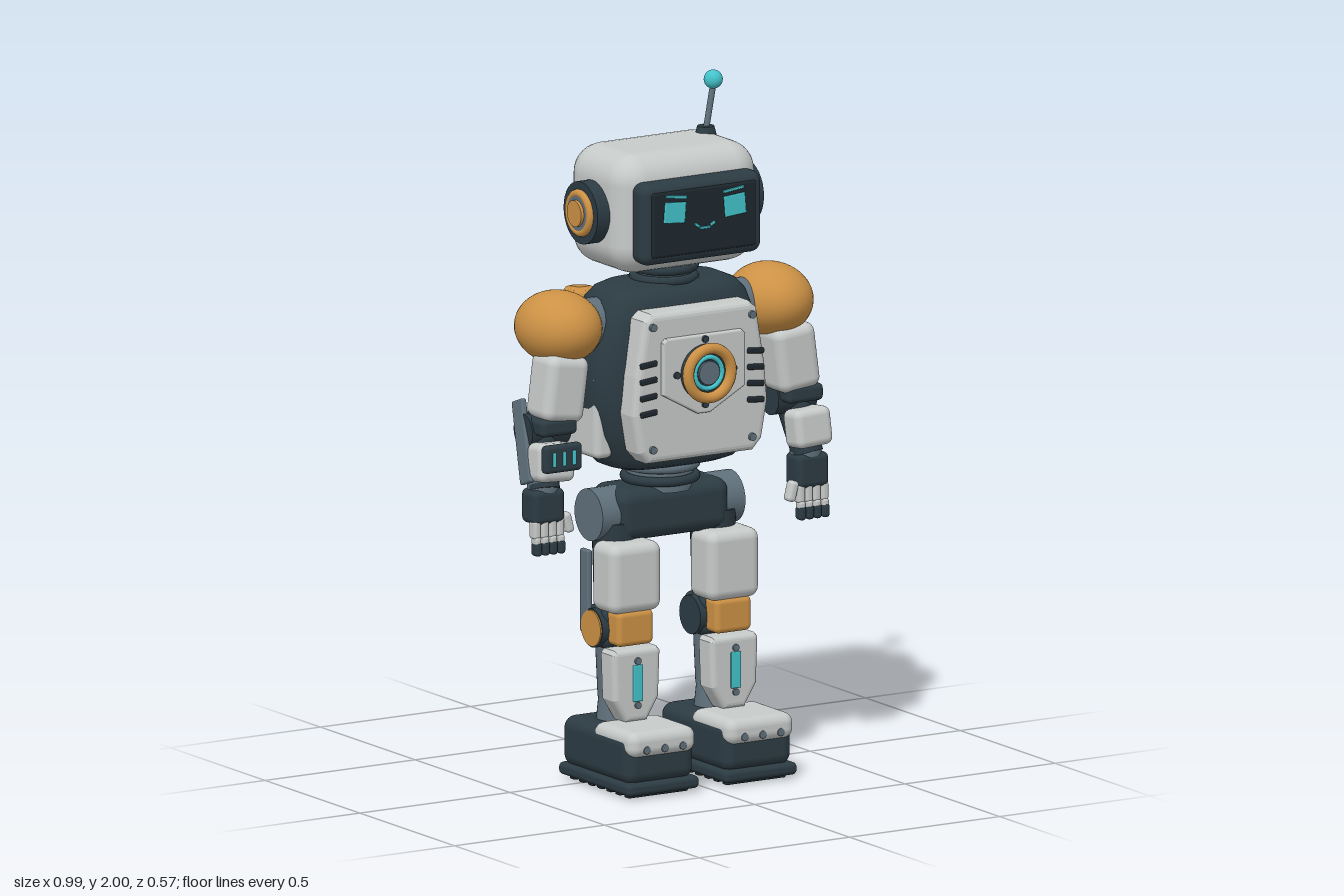
import * as THREE from 'three';
import { RoundedBoxGeometry } from 'three/addons/geometries/RoundedBoxGeometry.js';

const mat = (name, color) => Object.assign(new THREE.MeshStandardMaterial({ color }), { name });
const light = mat('light shell', 0xc6cac8), dark = mat('dark shell', 0x2c3b43), black = mat('near black', 0x1d272d);
const slate = mat('slate metal', 0x5f707b), orange = mat('orange', 0xcc9145), teal = mat('teal glow', 0x43c3cb);

function add(parent, name, geo, material, pos = [0, 0, 0], rot = [0, 0, 0]) {
  const m = new THREE.Mesh(geo, material);
  m.name = name;
  m.position.set(...pos);
  m.rotation.set(...rot);
  parent.add(m);
  return m;
}
const group = (parent, name) => {
  const g = new THREE.Group();
  g.name = name;
  parent.add(g);
  return g;
};
const box = (p, n, m, size, pos, r = 0.015, rot) => add(p, n, new RoundedBoxGeometry(...size, 4, r), m, pos, rot);
const cyl = (p, n, m, r, h, pos, axis = 'y', r2 = r) =>
  add(p, n, new THREE.CylinderGeometry(r, r2, h, 32), m, pos, axis === 'x' ? [0, 0, Math.PI / 2] : axis === 'z' ? [Math.PI / 2, 0, 0] : [0, 0, 0]);
const ring = (p, n, m, r, t, pos, rot) => add(p, n, new THREE.TorusGeometry(r, t, 12, 40), m, pos, rot);

// Symmetric bevelled plate from a right-hand outline listed top to bottom, spanning z0 to z1
function plate(p, n, m, half, z0, z1, bevel, x = 0) {
  const pts = [...half, ...half.map(([a, b]) => [-a, b]).reverse()].map(([a, b]) => new THREE.Vector2(a, b));
  const geo = new THREE.ExtrudeGeometry(new THREE.Shape(pts), {
    depth: z1 - z0 - 2 * bevel, bevelSize: bevel, bevelThickness: bevel, bevelOffset: -bevel, bevelSegments: 4,
  });
  return add(p, n, geo, m, [x, 0, z0 + bevel]);
}

// Closed body lofted through superellipse sections [y, halfWidth, halfDepth]
function loft(rows, power, seg = 64) {
  const pos = [], idx = [];
  const e = (v) => Math.sign(v) * Math.abs(v) ** (2 / power);
  for (const [y, a, b] of rows)
    for (let i = 0; i < seg; i++) {
      const t = (i / seg) * Math.PI * 2;
      pos.push(a * e(Math.sin(t)), y, b * e(Math.cos(t)));
    }
  for (let j = 0; j < rows.length - 1; j++)
    for (let i = 0; i < seg; i++) {
      const a = j * seg + i, b = j * seg + ((i + 1) % seg);
      idx.push(a, b, b + seg, a, b + seg, a + seg);
    }
  const geo = new THREE.BufferGeometry();
  geo.setAttribute('position', new THREE.Float32BufferAttribute(pos, 3));
  geo.setIndex(idx);
  geo.computeVertexNormals();
  return geo;
}

function buildHead(root) {
  const head = group(root, 'head');
  box(head, 'skull', light, [0.475, 0.345, 0.32], [0, 1.652, 0.02], 0.085);
  box(head, 'faceFrame', dark, [0.4, 0.235, 0.08], [0, 1.638, 0.192], 0.03);
  box(head, 'screen', black, [0.35, 0.19, 0.02], [0, 1.638, 0.226], 0.009);
  for (const s of [-1, 1]) {
    box(head, 'eye', teal, [0.07, 0.06, 0.008], [s * 0.1, 1.67, 0.237], 0.003, [0, 0, s * 0.08]);
    box(head, 'brow', teal, [0.07, 0.008, 0.006], [s * 0.095, 1.715, 0.237], 0.002, [0, 0, s * 0.12]);
    box(head, 'mouthCorner', teal, [0.018, 0.008, 0.006], [s * 0.026, 1.625, 0.237], 0.002, [0, 0, s * 0.6]);
    // Layered ear discs
    cyl(head, 'earDisc', dark, 0.09, 0.06, [s * 0.247, 1.65, 0.02], 'x');
    ring(head, 'earRing', orange, 0.056, 0.012, [s * 0.28, 1.65, 0.02], [0, Math.PI / 2, 0]);
    cyl(head, 'earInset', slate, 0.05, 0.02, [s * 0.28, 1.65, 0.02], 'x');
    cyl(head, 'earCap', orange, 0.038, 0.026, [s * 0.286, 1.65, 0.02], 'x');
  }
  box(head, 'mouth', teal, [0.034, 0.007, 0.006], [0, 1.616, 0.237], 0.002);
  // Antenna
  cyl(head, 'antennaBase', dark, 0.024, 0.03, [0.165, 1.827, -0.02], 'y', 0.032);
  const tilt = -Math.atan2(0.028, 0.15);
  add(head, 'antennaRod', new THREE.CylinderGeometry(0.009, 0.009, 0.16, 16), slate, [0.177, 1.89, -0.02], [0, 0, tilt]);
  add(head, 'antennaTip', new THREE.SphereGeometry(0.027, 24, 16), teal, [0.19, 1.973, -0.02]);
  // Neck
  cyl(head, 'neck', slate, 0.08, 0.1, [0, 1.455, 0.02]);
  for (const y of [1.437, 1.468]) ring(head, 'neckRing', dark, 0.085, 0.014, [0, y, 0.02], [Math.PI / 2, 0, 0]);
}

function buildTorso(root) {
  const torso = group(root, 'torso');
  const rows = [[0.905, 0, 0], [0.905, 0.165, 0.085], [0.915, 0.2, 0.105], [0.945, 0.228, 0.125], [1.02, 0.262, 0.14],
    [1.12, 0.285, 0.145], [1.22, 0.28, 0.145], [1.32, 0.257, 0.14], [1.39, 0.232, 0.125], [1.42, 0.205, 0.105], [1.435, 0.17, 0.08], [1.435, 0, 0]];
  add(torso, 'chestBody', loft(rows, 3.6), dark, [0, 0, 0.025]);
  plate(torso, 'chestPlate', light, [[0.165, 1.38], [0.188, 1.36], [0.215, 1.2], [0.225, 1.09], [0.205, 0.98], [0.175, 0.948]], 0.13, 0.222, 0.02);
  plate(torso, 'coreMount', light, [[0.125, 1.307], [0.137, 1.295], [0.137, 1.145], [0.02, 1.08]], 0.21, 0.236, 0.006);
  // Glowing core
  cyl(torso, 'coreHousing', dark, 0.08, 0.03, [0, 1.2, 0.24], 'z');
  ring(torso, 'coreRing', orange, 0.071, 0.016, [0, 1.2, 0.262], [0, 0, 0]);
  ring(torso, 'coreGlow', teal, 0.045, 0.007, [0, 1.2, 0.256], [0, 0, 0]);
  cyl(torso, 'coreCentre', slate, 0.034, 0.012, [0, 1.2, 0.256], 'z');
  for (let i = 0; i < 4; i++) {
    const a = (i * Math.PI) / 2;
    cyl(torso, 'coreBolt', dark, 0.01, 0.012, [0.094 * Math.cos(a), 1.2 + 0.094 * Math.sin(a), 0.238], 'z');
  }
  for (const s of [-1, 1]) {
    for (const y of [1.237, 1.19, 1.143, 1.096]) box(torso, 'chestVent', black, [0.056, 0.017, 0.012], [s * 0.178, y, 0.222], 0.005, [0, 0, s * -0.1]);
    for (const y of [1.343, 0.99]) cyl(torso, 'chestBolt', slate, 0.011, 0.014, [s * 0.165, y, 0.224], 'z');
    box(torso, 'flankPanel', light, [0.06, 0.25, 0.21], [s * 0.248, 1.075, 0], 0.02);
    cyl(torso, 'shoulderJoint', slate, 0.08, 0.14, [s * 0.25, 1.32, 0.02], 'x');
  }
  // Waist and pelvis
  cyl(torso, 'waist', slate, 0.095, 0.1, [0, 0.875, 0]);
  for (const y of [0.858, 0.895]) ring(torso, 'waistRing', y < 0.87 ? dark : slate, 0.1, 0.014, [0, y, 0], [Math.PI / 2, 0, 0]);
  box(torso, 'pelvis', dark, [0.37, 0.15, 0.18], [0, 0.77, 0], 0.04);
  cyl(torso, 'hipAxle', slate, 0.075, 0.475, [0, 0.77, 0], 'x');
}

function buildBackpack(root) {
  const pack = group(root, 'backpack');
  box(pack, 'packBody', dark, [0.3, 0.37, 0.16], [0, 1.185, -0.165], 0.03);
  box(pack, 'packPanel', light, [0.276, 0.265, 0.05], [0, 1.2, -0.252], 0.018);
  for (let i = 0; i < 6; i++) box(pack, 'packVent', black, [0.19, 0.013, 0.012], [0, 1.115 + i * 0.027, -0.277], 0.005);
  for (const s of [-1, 1]) {
    const pts = [[0, 0], [0.04, 0], [0.055, 0.02], [0.055, 0.37], [0.04, 0.39], [0, 0.39]].map(([a, b]) => new THREE.Vector2(a, b));
    add(pack, 'canister', new THREE.LatheGeometry(pts, 32), orange, [s * 0.153, 0.992, -0.182]);
    for (const y of [1.32, 1.04]) cyl(pack, 'canisterBand', dark, 0.062, 0.028, [s * 0.153, y, -0.182]);
    cyl(pack, 'canisterFoot', dark, 0.057, 0.03, [s * 0.153, 1.0, -0.182]);
  }
}

function buildArm(root, s) {
  const arm = group(root, s > 0 ? 'leftArm' : 'rightArm');
  const ball = add(arm, 'shoulder', new THREE.SphereGeometry(1, 40, 28), orange, [s * 0.352, 1.33, 0.02]);
  ball.scale.set(0.118, 0.104, 0.14);
  add(arm, 'upperArm', new THREE.CylinderGeometry(0.05, 0.05, 0.26, 24), dark, [s * 0.385, 1.17, 0.02], [0, 0, s * 0.13]);
  box(arm, 'upperArmShell', light, [0.135, 0.19, 0.125], [s * 0.385, 1.17, 0.07], 0.03, [0, 0, s * 0.13]);
  cyl(arm, 'elbow', dark, 0.05, 0.13, [s * 0.41, 1.045, 0.03], 'x');
  box(arm, 'elbowGuard', dark, [0.12, 0.05, 0.1], [s * 0.41, 1.065, 0.075], 0.015);
  // Forearm leans forward
  const fore = [-0.36, 0, s * 0.1];
  add(arm, 'forearm', new THREE.CylinderGeometry(0.052, 0.045, 0.22, 24), dark, [s * 0.428, 0.985, 0.045], fore);
  box(arm, 'forearmPanel', slate, [0.018, 0.24, 0.06], [s * 0.475, 1.015, 0.03], 0.007, fore);
  box(arm, 'forearmShell', light, [0.12, 0.11, 0.085], [s * 0.428, 0.965, 0.103], 0.022, [-0.1, 0, s * 0.06]);
  if (s < 0) {
    box(arm, 'wristDisplay', dark, [0.125, 0.08, 0.03], [-0.43, 0.988, 0.162], 0.012);
    for (const dx of [-0.033, 0, 0.033]) box(arm, 'displayBar', teal, [0.011, 0.042, 0.008], [-0.43 + dx, 0.988, 0.178], 0.003);
  }
  // Wrist and hand
  cyl(arm, 'wrist', slate, 0.045, 0.04, [s * 0.438, 0.9, 0.075]);
  box(arm, 'palm', dark, [0.105, 0.1, 0.08], [s * 0.44, 0.838, 0.08], 0.018);
  for (let i = 0; i < 4; i++) {
    const x = s * (0.401 + i * 0.026);
    box(arm, 'finger', light, [0.023, 0.055, 0.035], [x, 0.775, 0.1], 0.009);
    box(arm, 'fingertip', dark, [0.022, 0.04, 0.033], [x, 0.72, 0.108], 0.009);
    box(arm, 'knuckle', light, [0.02, 0.026, 0.03], [x, 0.742, 0.107], 0.008);
  }
  box(arm, 'thumb', light, [0.027, 0.06, 0.035], [s * 0.374, 0.785, 0.1], 0.011, [0, 0, s * -0.25]);
}

function buildLeg(root, s) {
  const leg = group(root, s > 0 ? 'leftLeg' : 'rightLeg');
  const x = s * 0.163;
  cyl(leg, 'thigh', dark, 0.066, 0.28, [x, 0.61, 0.02], 'y', 0.058);
  box(leg, 'thighShell', light, [0.17, 0.2, 0.125], [x, 0.603, 0.082], 0.03);
  box(leg, 'thighRail', slate, [0.016, 0.24, 0.045], [s * 0.24, 0.55, -0.01], 0.006);
  // Knee
  box(leg, 'kneeJoint', dark, [0.15, 0.12, 0.12], [x, 0.45, 0.025], 0.03);
  cyl(leg, 'kneeAxle', dark, 0.056, 0.165, [x, 0.45, 0.03], 'x');
  cyl(leg, 'kneeCap', orange, 0.052, 0.02, [s * 0.24, 0.45, 0.03], 'x');
  box(leg, 'kneePad', orange, [0.12, 0.1, 0.07], [x, 0.458, 0.1], 0.016);
  // Shin
  cyl(leg, 'calf', slate, 0.058, 0.18, [x, 0.335, 0.022], 'y', 0.05);
  plate(leg, 'shinPlate', light, [[0.07, 0.4], [0.08, 0.388], [0.075, 0.255], [0.035, 0.19]], 0.062, 0.14, 0.016, x);
  box(leg, 'shinLight', teal, [0.032, 0.105, 0.008], [x, 0.302, 0.142], 0.003);
  for (const y of [0.366, 0.238]) cyl(leg, 'shinBolt', slate, 0.01, 0.012, [x, y, 0.14], 'z');
  cyl(leg, 'ankle', slate, 0.05, 0.1, [x, 0.215, 0.03], 'y', 0.06);
  // Foot
  box(leg, 'foot', dark, [0.228, 0.145, 0.36], [x, 0.11, 0.09], 0.035);
  box(leg, 'toeCap', light, [0.222, 0.075, 0.215], [x, 0.155, 0.177], 0.03);
  box(leg, 'sole', dark, [0.24, 0.036, 0.375], [x, 0.029, 0.094], 0.014);
  for (let i = 0; i < 7; i++) box(leg, 'tread', black, [0.2, 0.016, 0.025], [x, 0.008, -0.05 + i * 0.048], 0.005);
  for (const dx of [-0.06, 0, 0.06]) cyl(leg, 'toeBolt', slate, 0.011, 0.012, [x + dx, 0.142, 0.281], 'z');
}

export function createModel() {
  const root = new THREE.Group();
  root.name = 'robot';
  buildHead(root);
  buildTorso(root);
  buildBackpack(root);
  for (const s of [-1, 1]) {
    buildArm(root, s);
    buildLeg(root, s);
  }
  return root;
}
